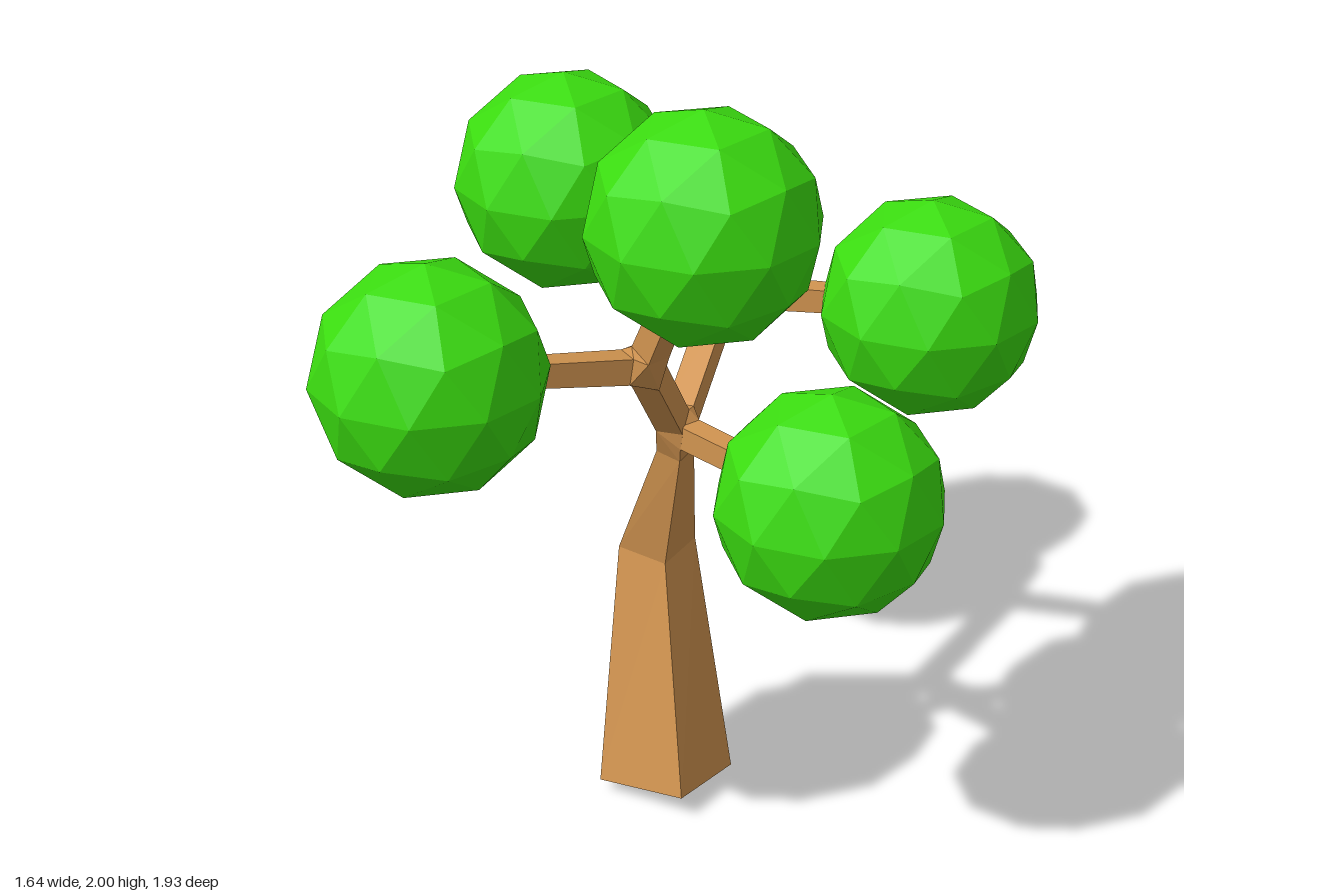
import * as THREE from 'three';
import { ConvexGeometry } from 'three/addons/geometries/ConvexGeometry.js';

const V = (x, y, z) => new THREE.Vector3(x, y, z);
const bark = new THREE.MeshStandardMaterial({ color: 0xd19450, flatShading: true });
const leaf = new THREE.MeshStandardMaterial({ color: 0x3bdd10, flatShading: true });

// Skin over a list of four-cornered rings, closed at both ends.
function loft(rings) {
  const pos = [];
  const quad = (a, b, c, d) => [a, b, c, a, c, d].forEach((p) => pos.push(p.x, p.y, p.z));
  for (let k = 0; k < rings.length - 1; k++) {
    for (let i = 0; i < 4; i++) {
      const j = (i + 1) % 4;
      quad(rings[k][i], rings[k][j], rings[k + 1][j], rings[k + 1][i]);
    }
  }
  const [a, b, c, d] = rings[0];
  quad(d, c, b, a);
  quad(...rings[rings.length - 1]);
  const geo = new THREE.BufferGeometry();
  geo.setAttribute('position', new THREE.Float32BufferAttribute(pos, 3));
  geo.computeVertexNormals();
  return geo;
}

// Square ring across a direction, r is the half diagonal.
function ring(center, dir, r) {
  const s = dir.clone().cross(V(0, 1, 0)).normalize();
  const u = s.clone().cross(dir);
  return [0, 1, 2, 3].map((i) => {
    const a = Math.PI / 4 + (i * Math.PI) / 2;
    return center.clone().addScaledVector(u, r * Math.cos(a)).addScaledVector(s, r * Math.sin(a));
  });
}

export function createModel() {
  const tree = new THREE.Group();
  tree.name = 'tree';
  const add = (geo, mat, name) => {
    const mesh = new THREE.Mesh(geo, mat);
    mesh.name = name;
    tree.add(mesh);
    return mesh;
  };

  // Bent, tapering trunk: corners run left, front, right, back
  const trunkTop = [V(-0.1, 0.98, 0.17), V(-0.04, 0.97, 0.205), V(-0.01, 0.985, 0.145), V(-0.065, 1.0, 0.11)];
  add(loft([
    [V(-0.25, 0.035, 0.18), V(-0.03, 0.065, 0.3), V(0.08, 0.035, 0.08), V(-0.13, 0.005, -0.03)],
    [V(-0.208, 0.65, 0.055), V(-0.085, 0.64, 0.12), V(-0.02, 0.655, 0.0), V(-0.145, 0.665, -0.065)],
    trunkTop,
  ]), bark, 'trunk');

  // Forks and crown centres
  const fork = V(-0.05, 1.04, 0.165);
  const frontFork = V(-0.105, 1.31, 0.395);
  const backFork = V(0.04, 1.255, -0.195);
  const crowns = {
    top: V(0.045, 1.723, 0.533),
    frontRight: V(-0.56, 1.402, 0.69),
    frontLeft: V(0.34, 1.062, 0.573),
    left: V(0.553, 1.283, -0.08),
    right: V(-0.353, 1.557, -0.158),
    back: V(-0.01, 1.227, -0.69),
  };

  // Joint corners are gathered from the limbs that meet there
  const joints = new Map([[fork, [...trunkTop]], [frontFork, []], [backFork, []]]);
  const limb = (from, to, r0, r1, name) => {
    const dir = to.clone().sub(from).normalize();
    const start = ring(from.clone().addScaledVector(dir, 0.05), dir, r0);
    const isFork = joints.has(to);
    const end = ring(to.clone().addScaledVector(dir, isFork ? -0.05 : -0.12), dir, r1);
    joints.get(from).push(...start);
    if (isFork) joints.get(to).push(...end);
    add(loft([start, end]), bark, name);
  };
  limb(fork, frontFork, 0.048, 0.048, 'frontLimb');
  limb(fork, backFork, 0.048, 0.048, 'backLimb');
  limb(fork, crowns.frontLeft, 0.043, 0.04, 'frontLeftBranch');
  limb(frontFork, crowns.top, 0.046, 0.04, 'topBranch');
  limb(frontFork, crowns.frontRight, 0.046, 0.04, 'frontRightBranch');
  for (const side of ['left', 'right', 'back']) limb(backFork, crowns[side], 0.046, 0.04, side + 'Branch');
  for (const corners of joints.values()) add(new ConvexGeometry(corners), bark, 'branchJoint');

  // Faceted leaf balls with a corner pointing straight up
  const ball = new THREE.IcosahedronGeometry(0.277, 1);
  ball.rotateX(-Math.atan((1 + Math.sqrt(5)) / 2)).rotateY(Math.PI / 2);
  ball.computeVertexNormals();
  for (const [side, center] of Object.entries(crowns)) add(ball, leaf, side + 'Leaves').position.copy(center);

  return tree;
}
